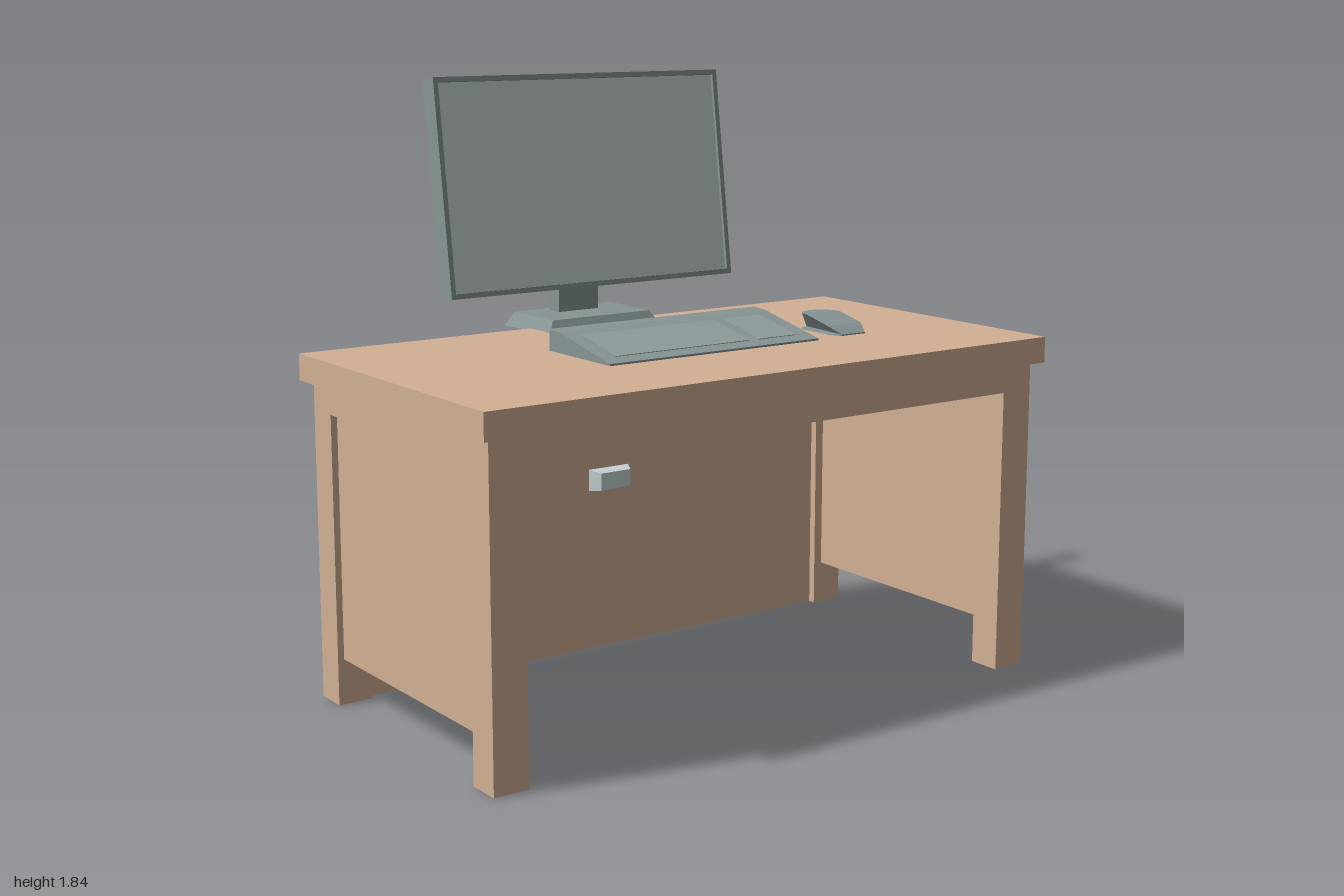
import * as THREE from 'three';

const material = (color) => new THREE.MeshStandardMaterial({ color, flatShading: true });

export function createModel() {
  const model = new THREE.Group();
  model.name = 'deskWithComputer';
  const wood = material(0xd2b094);
  const grey = material(0x889695);
  const keyGrey = material(0x909e9d);
  const pale = material(0xc8d2d4);

  const add = (name, geometry, mat, parent = model) => {
    const mesh = new THREE.Mesh(geometry, mat);
    mesh.name = name;
    parent.add(mesh);
    return mesh;
  };
  // Box given by its limits on each axis
  const box = (name, [x0, x1], [y0, y1], [z0, z1], mat, parent) =>
    add(name, new THREE.BoxGeometry(x1 - x0, y1 - y0, z1 - z0)
      .translate((x0 + x1) / 2, (y0 + y1) / 2, (z0 + z1) / 2), mat, parent);
  // Side profile of [z, y] points, extruded along x and centred on x = cx
  const profile = (points, width, cx) =>
    new THREE.ExtrudeGeometry(new THREE.Shape(points.map(([z, y]) => new THREE.Vector2(z, y))),
      { depth: width, bevelEnabled: false })
      .rotateY(-Math.PI / 2).translate(cx + width / 2, 0, 0);
  // Box whose vertices are moved by a rule
  const reshape = (geometry, rule) => {
    const p = geometry.attributes.position;
    for (let i = 0; i < p.count; i++) p.setXYZ(i, ...rule(p.getX(i), p.getY(i), p.getZ(i)));
    geometry.computeVertexNormals();
    return geometry;
  };

  // Desk: top, legs, rails and recessed panels
  const desk = new THREE.Group();
  desk.name = 'desk';
  model.add(desk);
  box('tabletop', [-1, 1], [0.97, 1.05], [-0.46, 0.6], wood, desk);
  for (const s of [-1, 1]) {
    const span = (a, b) => (s > 0 ? [a, b] : [-b, -a]);
    box('frontLeg', span(0.86, 0.97), [0, 0.97], [0.465, 0.57], wood, desk);
    box('backLeg', span(0.86, 0.97), [0, 0.97], [-0.43, -0.325], wood, desk);
    box('sideRail', span(0.86, 0.97), [0.885, 0.97], [-0.325, 0.465], wood, desk);
    box('sidePanel', span(0.89, 0.95), [0.14, 0.885], [-0.325, 0.465], wood, desk);
  }
  box('frontRail', [-0.86, 0.86], [0.885, 0.97], [0.465, 0.57], wood, desk);
  box('backRail', [-0.86, 0.86], [0.885, 0.97], [-0.43, -0.325], wood, desk);
  box('backPanel', [-0.86, 0.86], [0, 0.885], [-0.41, -0.35], wood, desk);
  box('drawer', [-0.86, -0.25], [0.67, 0.885], [-0.35, 0.57], wood, desk);

  // Drawer handle, tapering towards the front
  add('drawerHandle', reshape(new THREE.BoxGeometry(0.125, 0.058, 0.035),
    (x, y, z) => (z > 0 ? [x * 0.75, y * 0.8, z] : [x, y, z])), pale, desk)
    .position.set(-0.6, 0.82, 0.588);

  // Monitor: tilted body, raised rim and recessed screen
  const monitor = new THREE.Group();
  monitor.name = 'monitor';
  monitor.position.set(0.022, 1.502, -0.488);
  monitor.rotation.x = -0.135;
  model.add(monitor);
  const w = 0.533, h = 0.337, rim = 0.016;
  const rectangle = (target, a, b) =>
    target.moveTo(-a, -b).lineTo(a, -b).lineTo(a, b).lineTo(-a, b).closePath();
  const frame = rectangle(new THREE.Shape(), w, h);
  frame.holes.push(rectangle(new THREE.Path(), w - rim, h - rim));
  box('monitorBody', [-w, w], [-h, h], [-0.033, 0.019], grey, monitor);
  add('monitorRim', new THREE.ExtrudeGeometry(frame, { depth: 0.014, bevelEnabled: false })
    .translate(0, 0, 0.019), grey, monitor);
  box('screen', [-w + rim, w - rim], [-h + rim, h - rim], [0.018, 0.022], pale, monitor);

  // Monitor stand: neck with a sloped back top, on a bevelled foot
  add('standNeck', profile([[-0.553, 1.07], [-0.495, 1.07], [-0.495, 1.36], [-0.507, 1.36],
    [-0.553, 1.32]], 0.15, 0.003), grey);
  add('standFoot', reshape(new THREE.BoxGeometry(0.416, 0.04, 0.272),
    (x, y, z) => (y > 0 ? [x * 0.88, y, z * 0.83] : [x, z < 0 ? y - 0.005 : y, z])), grey)
    .position.set(0.002, 1.066, -0.473);

  // Keyboard: wedge with a flat back strip and two key fields
  add('keyboard', profile([[-0.075, 1.05], [0.245, 1.05], [0.245, 1.056], [-0.02, 1.112],
    [-0.075, 1.115]], 0.765, 0.008), grey);
  const slope = (z) => 1.056 + (0.245 - z) * 0.2113;
  for (const [x0, x1] of [[-0.325, 0.16], [0.195, 0.34]]) {
    add('keyField', profile([[0.02, slope(0.02) - 0.002], [0.2, slope(0.2) - 0.002],
      [0.2, slope(0.2) + 0.002], [0.02, slope(0.02) + 0.002]], x1 - x0, (x0 + x1) / 2), keyGrey);
  }

  // Mouse: side profile with its width narrowed at the round rear and the blunt nose
  const r = 0.067, cz = 0.01 + r;
  const rear = [0, 0.15, 0.35, 0.6, 0.85, 1.1, 1.35, Math.PI / 2]
    .map((a) => cz - r * Math.cos(a));
  const zs = [...rear, 0.18, 0.225];
  const height = (z) => (z < 0.08 ? 1.1 : z < 0.19 ? 1.1 - (z - 0.08) * 0.23 : 1.054);
  const halfWidth = (z) => {
    if (z < cz) return Math.max(0.012, Math.sqrt(Math.max(0, r * r - (cz - z) ** 2)));
    return z > 0.181 ? 0.046 : r;
  };
  const outline = [...zs.map((z) => [z, 1.05]), ...zs.map((z) => [z, height(z)]).reverse()];
  add('mouse', reshape(profile(outline, 2, 0),
    (x, y, z) => [0.548 + Math.sign(x) * halfWidth(z), y, z]), grey);

  return model;
}
